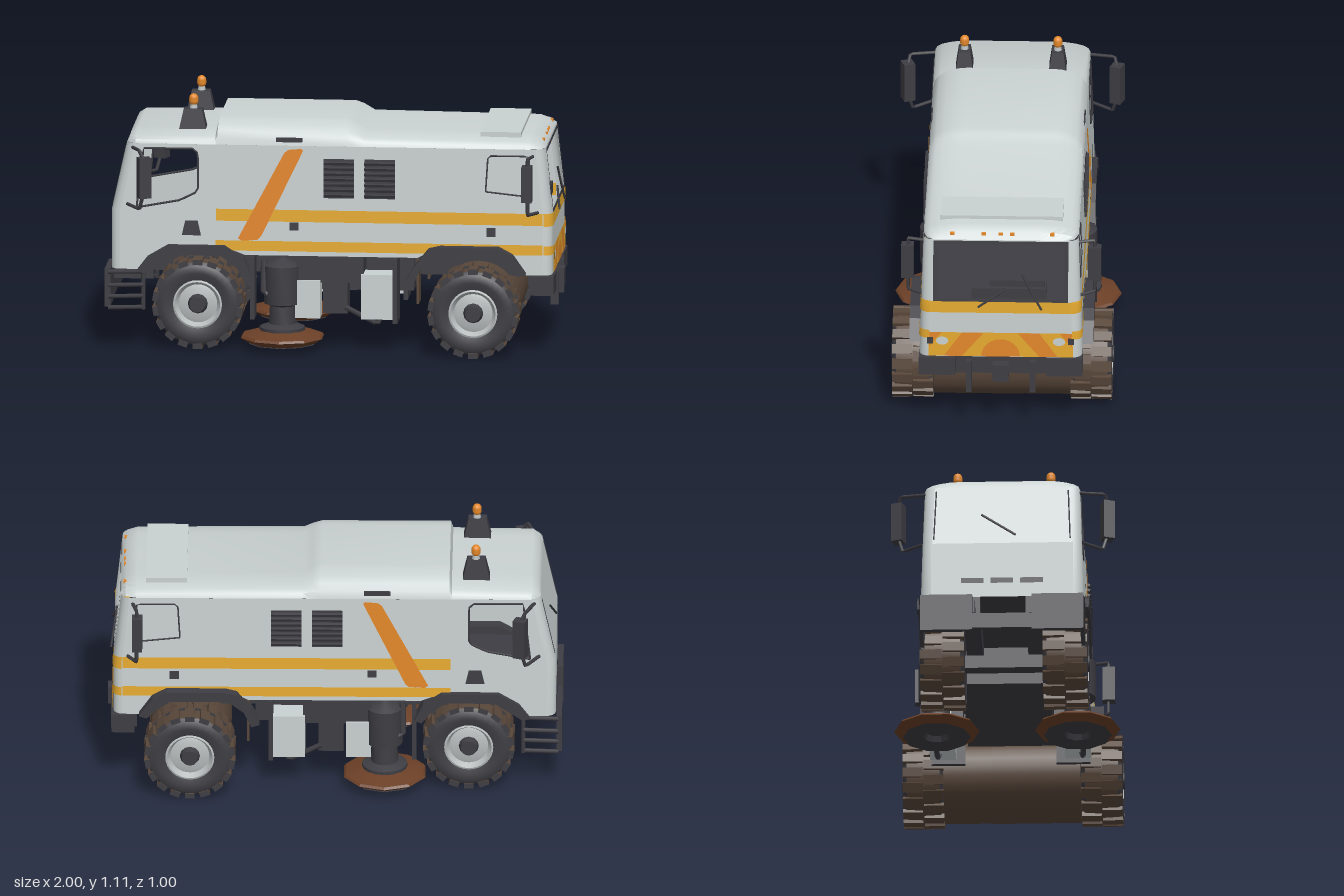
import * as THREE from 'three';
import { toCreasedNormals } from 'three/addons/utils/BufferGeometryUtils.js';

const mat = (name, color) => new THREE.MeshStandardMaterial({ name, color, side: THREE.DoubleSide });

export function createModel() {
  const root = new THREE.Group();
  root.name = 'streetSweeper';
  const paint = mat('greyPaint', 0xcad2d1), dark = mat('darkPlastic', 0x3d3d43), yellow = mat('yellowStripe', 0xe6aa30),
    orange = mat('orangeStripe', 0xe4882a), brown = mat('muddyBrown', 0x59473a), rust = mat('rustBristle', 0x6c4027),
    metal = mat('rimMetal', 0xb8bdbd);

  const add = (name, geo, m, x = 0, y = 0, z = 0, parent = root) => {
    const mesh = new THREE.Mesh(geo, m);
    mesh.name = name;
    mesh.position.set(x, y, z);
    parent.add(mesh);
    return mesh;
  };
  // box given by its limits
  const box = (name, m, x0, x1, y0, y1, z0, z1) => add(name, new THREE.BoxGeometry(x1 - x0, y1 - y0, Math.abs(z1 - z0)), m,
    (x0 + x1) / 2, (y0 + y1) / 2, (z0 + z1) / 2);
  const rod = (name, m, r, ...pts) => {
    const path = new THREE.CurvePath();
    const v = pts.map(p => new THREE.Vector3(...p));
    for (let i = 1; i < v.length; i++) path.add(new THREE.LineCurve3(v[i - 1], v[i]));
    return add(name, new THREE.TubeGeometry(path, 6 * (v.length - 1), r, 6), m);
  };
  const poly = pts => new THREE.Shape(pts.map(p => new THREE.Vector2(...p)));
  const rect = (a, b, c, d) => poly([[a, c], [b, c], [b, d], [a, d]]);

  // ---- body surface rules ----
  const W = y => 0.358 - (y - 0.36) * 0.03;
  const E = (s, y) => s * (0.972 - Math.max(0, y - 0.62) * (s > 0 ? 0.11 : 0.22));
  const mapped = (name, shape, m, flip, rule) => {
    const g = new THREE.ShapeGeometry(shape, 10), p = g.attributes.position;
    for (let i = 0; i < p.count; i++) p.setXYZ(i, ...rule(p.getX(i), p.getY(i)));
    if (flip) g.index.array.reverse();
    g.computeVertexNormals();
    return add(name, g, m);
  };
  const onSide = (name, shape, m, s, off = 0.004) => mapped(name, shape, m, s < 0, (x, y) => [x, y, s * (W(y) + off)]);
  const onEnd = (name, shape, m, s, off = 0.004) => mapped(name, shape, m, s > 0, (z, y) => [E(s, y) + s * off, y, z]);
  const grid = (rows, flip) => {
    const n = rows[0].length, idx = [];
    for (let i = 0; i < rows.length - 1; i++) for (let j = 0; j < n - 1; j++) {
      const a = i * n + j;
      idx.push(a, a + 1, a + n, a + 1, a + n + 1, a + n);
    }
    if (flip) idx.reverse();
    const g = new THREE.BufferGeometry();
    g.setAttribute('position', new THREE.Float32BufferAttribute(rows.flat(2), 3));
    g.setIndex(idx);
    g.computeVertexNormals();
    return g;
  };
  const corner = (name, m, sx, sz, ys, off = 0) => add(name, grid(ys.map(y => [0, 1, 2, 3, 4].map(i => {
    const a = i / 4 * Math.PI / 2;
    return [E(sx, y) + sx * (off - 0.04 * (1 - Math.sin(a))), y, sz * (W(y) - 0.045 * (1 - Math.cos(a)) + off)];
  })), sx * sz < 0), m);

  // ---- body shell ----
  for (const s of [1, -1]) {
    const wall = poly([[-0.932, 0.36], [-0.83, 0.36], [-0.8, 0.41], [-0.72, 0.46], [-0.46, 0.46], [-0.38, 0.43], [0.38, 0.43], [0.46, 0.47],
      [0.78, 0.47], [0.85, 0.38], [0.86, 0.36], [0.932, 0.36], [0.932, 0.62], [0.899, 0.92], [-0.866, 0.92], [-0.932, 0.62]]);
    const win = [[-0.86, 0.635], [-0.67, 0.67], [-0.59, 0.71], [-0.59, 0.88], [-0.61, 0.9], [-0.83, 0.9]];
    wall.holes.push(poly(win));
    onSide('sideWall', wall, paint, s, 0);
    rod('sideWindowTrim', dark, 0.005, ...[...win, win[0]].map(([x, y]) => [x, y, s * W(y)]));
    rod('rearSideWindowTrim', dark, 0.004, ...[[0.68, 0.73], [0.87, 0.71], [0.885, 0.7], [0.87, 0.89], [0.69, 0.89], [0.68, 0.73]]
      .map(([x, y]) => [x, y, s * W(y)]));
    for (const e of [1, -1]) corner('bodyCorner', paint, e, s, [0.36, 0.62, 0.92]);
  }
  for (const e of [1, -1]) {
    onEnd('lowerEndWall', rect(-0.312, 0.312, 0.36, 0.62), paint, e, 0);
    const upper = poly([[-0.306, 0.62], [0.306, 0.62], [0.297, 0.92], [-0.297, 0.92]]);
    if (e > 0) upper.holes.push(rect(-0.283, 0.283, 0.645, 0.905));
    onEnd('upperEndWall', upper, paint, e, 0);
  }
  const frame = rect(-0.297, 0.297, 0.632, 0.917);
  frame.holes.push(rect(-0.28, 0.28, 0.648, 0.902));
  onEnd('windscreenFrame', frame, dark, 1);

  // roof: end position, half width and crown height at each station
  const stations = [[-0.906, 0.297, 0.92], [-0.895, 0.315, 0.95], [-0.866, 0.341, 0.967], [-0.515, 0.341, 0.974], [-0.505, 0.341, 1.02],
    [0.06, 0.341, 1.02], [0.1, 0.341, 1.005], [0.14, 0.341, 0.976], [0.87, 0.341, 0.967], [0.92, 0.325, 0.95], [0.939, 0.297, 0.92]];
  const roof = grid(stations.map(([x, w, t]) => {
    const half = [[w, 0.92], [w - 0.008, 0.92 + (t - 0.92) * 0.35], [w - 0.03, 0.92 + (t - 0.92) * 0.62],
      [w - 0.065, 0.92 + (t - 0.92) * 0.82], [w - 0.11, t - (t - 0.92) * 0.04], [w - 0.15, t]];
    return [...half, ...half.slice().reverse().map(([z, y]) => [-z, y])].map(([z, y]) => [x, y, z]);
  }), true);
  add('roof', toCreasedNormals(roof, 0.7), paint);
  box('roofHatch', paint, 0.65, 0.83, 0.96, 0.983, -0.27, 0.27);
  box('floor', dark, -0.93, 0.93, 0.425, 0.435, -0.34, 0.34);
  box('headliner', dark, -0.87, 0.9, 0.912, 0.918, -0.335, 0.335);

  // ---- painted stripes, vents and small fittings on both sides ----
  for (const s of [1, -1]) {
    // the bands show on the outer and the inner skin
    for (const off of [0.004, -0.004]) {
      for (const [y0, y1] of [[0.582, 0.635], [0.45, 0.495]]) onSide('sideStripe', rect(-0.51, 0.932, y0, y1), yellow, s, off);
      onSide('diagonalStripe', poly([[-0.412, 0.505], [-0.395, 0.495], [-0.325, 0.5], [-0.31, 0.515], [-0.125, 0.9], [-0.135, 0.908], [-0.19, 0.903],
        [-0.208, 0.89]]), orange, s, off * 1.5);
    }
    corner('cornerStripe', yellow, 1, s, [0.578, 0.62, 0.635], 0.004);
    corner('cornerStripe', yellow, 1, s, [0.45, 0.49], 0.004);
    for (const x of [-0.035, 0.145]) {
      onSide('ventPanel', rect(x, x + 0.135, 0.69, 0.865), dark, s);
      for (let i = 0; i < 7; i++) {
        const slat = box('ventSlat', dark, x, x + 0.135, 0.697 + i * 0.024, 0.709 + i * 0.024, s * 0.345, s * 0.358);
        slat.rotation.x = s * 0.4;
      }
    }
    onSide('fuelFlap', poly([[-0.66, 0.515], [-0.575, 0.515], [-0.59, 0.58], [-0.645, 0.58]]), dark, s);
    onSide('doorHandle', rect(0.685, 0.725, 0.53, 0.57), dark, s);
    onSide('sideLatch', rect(-0.185, -0.145, 0.545, 0.58), dark, s, 0.008);
    box('roofVent', dark, -0.245, -0.13, 0.935, 0.955, s * 0.31, s * 0.339);
  }

  // ---- painted end with chevrons ----
  onEnd('endStripe', rect(-0.312, 0.312, 0.578, 0.632), yellow, 1);
  onEnd('chevronPanel', rect(-0.318, 0.318, 0.363, 0.48), yellow, 1);
  const arch = new THREE.Shape();
  arch.absarc(0, 0.364, 0.085, 0, Math.PI);
  onEnd('chevronCentre', arch, orange, 1, 0.006);
  for (const s of [1, -1]) {
    const band = pts => poly((s > 0 ? pts : pts.reverse()).map(([z, y]) => [s * z, y]));
    onEnd('chevronBand', band([[0.17, 0.364], [0.25, 0.364], [0.17, 0.48], [0.075, 0.48]]), orange, 1, 0.006);
    onEnd('chevronTip', band([[0.315, 0.41], [0.315, 0.48], [0.26, 0.48]]), orange, 1, 0.006);
    const lamp = new THREE.Shape();
    lamp.absellipse(s * 0.257, 0.44, 0.027, 0.02, 0, Math.PI * 2);
    onEnd('headlamp', lamp, paint, 1, 0.008);
    onEnd('lampRecess', rect(s * 0.31 - 0.013, s * 0.31 + 0.013, 0.425, 0.457), dark, 1, 0.007);
  }
  for (const z of [0.215, 0.075, 0, -0.05, -0.225]) box('markerLight', orange, 0.912, 0.93, 0.938, 0.949, z - 0.01, z + 0.01);

  // ---- cab details ----
  box('dashboard', dark, 0.82, 0.93, 0.625, 0.675, -0.2, 0.13);
  box('instrumentPod', dark, 0.84, 0.91, 0.67, 0.705, -0.19, 0.05);
  rod('wiper', dark, 0.005, [0.985, 0.6, -0.18], [0.97, 0.69, -0.13], [0.96, 0.76, -0.095]);
  rod('wiper', dark, 0.005, [0.985, 0.61, 0.1], [0.965, 0.69, -0.02]);
  rod('frontWiper', dark, 0.005, [-0.97, 0.66, 0.06], [-0.945, 0.77, -0.09]);
  for (let i = -1; i <= 1; i++) onEnd('grilleSlot', rect(i * 0.13 - 0.05, i * 0.13 + 0.05, 0.425, 0.45), dark, -1);
  for (const s of [1, -1]) {
    rod('frontScreenSeal', dark, 0.003, [E(-1, 0.64), 0.64, s * 0.3], [E(-1, 0.9), 0.9, s * 0.29]);
    box('frontMirror', dark, -0.845, -0.79, 0.7, 0.88, s * 0.435, s * 0.485).rotation.y = s * 0.35;
    rod('frontMirrorArm', dark, 0.008, [-0.88, 0.9, s * 0.33], [-0.84, 0.91, s * 0.45], [-0.82, 0.87, s * 0.46]);
    rod('frontMirrorArm', dark, 0.008, [-0.9, 0.65, s * 0.35], [-0.84, 0.645, s * 0.44], [-0.82, 0.72, s * 0.46]);
    box('rearMirror', dark, 0.845, 0.89, 0.7, 0.86, s * 0.385, s * 0.44);
    rod('rearMirrorArm', dark, 0.008, [0.89, 0.89, s * 0.33], [0.87, 0.89, s * 0.41], [0.87, 0.85, s * 0.41]);
    rod('rearMirrorArm', dark, 0.008, [0.91, 0.64, s * 0.35], [0.87, 0.64, s * 0.41], [0.87, 0.71, s * 0.41]);
    // warning beacons
    const base = new THREE.CylinderGeometry(0.057, 0.085, 0.09, 4).rotateY(Math.PI / 4).scale(1, 1, 0.64);
    add('beaconBase', toCreasedNormals(base, 0.5), dark, -0.622, 1.011, s * 0.205);
    add('beaconStem', new THREE.CylinderGeometry(0.014, 0.02, 0.03, 10), metal, -0.62, 1.06, s * 0.205);
    add('beaconLens', new THREE.CapsuleGeometry(0.02, 0.014, 5, 12), orange, -0.62, 1.094, s * 0.205);
  }

  // ---- wheels ----
  const turned = (pts, n = 32) => new THREE.LatheGeometry(pts.map(p => new THREE.Vector2(...p)), n).rotateX(Math.PI / 2);
  const wheel = (name, x, s, zIn, zOut) => {
    const g = new THREE.Group(), h = (zOut - zIn) / 2;
    g.name = name;
    g.position.set(x, 0.207, s * (zIn + zOut) / 2);
    if (s < 0) g.rotation.y = Math.PI;
    root.add(g);
    add('tyreTread', turned([[0.186, -h + 0.02], [0.19, 0], [0.186, h - 0.02]]), brown, 0, 0, 0, g);
    add('outerSidewall', turned([[0.187, h - 0.02], [0.172, h - 0.004], [0.14, h], [0.105, h - 0.01]]), dark, 0, 0, 0, g);
    add('innerSidewall', turned([[0, -h + 0.03], [0.1, -h + 0.02], [0.14, -h], [0.172, -h + 0.004], [0.187, -h + 0.02]]), dark, 0, 0, 0, g);
    add('rim', toCreasedNormals(turned([[0, h - 0.02], [0.07, h - 0.025], [0.085, h - 0.03], [0.1, h - 0.003], [0.108, h - 0.006]]), 0.6), metal, 0, 0, 0, g);
    add('hub', new THREE.CylinderGeometry(0.035, 0.045, 0.03, 12).rotateX(Math.PI / 2), dark, 0, 0, h - 0.01, g);
    // staggered lugs, brown on the tread and dark on the outer face
    for (let i = 0; i < 36; i++) {
      const a = i / 36 * Math.PI * 2, side = i % 2 ? 1 : -1;
      const lug = add('treadLug', new THREE.BoxGeometry(0.024, 0.042, h * 0.95), [brown, brown, brown, brown, dark, dark],
        Math.cos(a) * 0.188, Math.sin(a) * 0.188, side * h * 0.5, g);
      lug.rotation.z = a;
    }
  };
  const fender = (outer, s, z0, z1) => {
    const cx = (outer[0][0] + outer[outer.length - 1][0]) / 2;
    const inner = outer.map(([x, y]) => [cx + (x - cx) * 0.87, y - (y > 0.4 ? 0.045 : 0.01)]).reverse();
    add('fender', new THREE.ExtrudeGeometry(poly([...outer, ...inner]), { depth: z1 - z0, bevelEnabled: false }), dark, 0, 0, s > 0 ? z0 : -z1);
  };
  for (const s of [1, -1]) {
    wheel('frontWheel', -0.59, s, 0.17, 0.37);
    wheel('rearWheel', 0.635, s, 0.3, 0.485);
    fender([[-0.86, 0.355], [-0.81, 0.42], [-0.72, 0.473], [-0.47, 0.473], [-0.39, 0.42], [-0.35, 0.34]], s, 0.3, 0.378);
    fender([[0.33, 0.33], [0.37, 0.4], [0.43, 0.475], [0.48, 0.487], [0.74, 0.487], [0.8, 0.455], [0.86, 0.37]], s, 0.32, 0.405);
    box('mudFlap', brown, 0.375, 0.385, 0.22, 0.42, s * 0.22, s * 0.34);
  }

  // ---- sweeping gear ----
  add('rollerBrush', new THREE.CylinderGeometry(0.18, 0.18, 0.39, 28).rotateX(Math.PI / 2), brown, 0.635, 0.205, 0.105);
  add('rollerBrush', new THREE.CylinderGeometry(0.178, 0.178, 0.22, 28).rotateX(Math.PI / 2), brown, 0.635, 0.205, -0.195);
  for (const s of [1, -1]) {
    const disc = (name, pts, m, n) => add(name, toCreasedNormals(new THREE.LatheGeometry(pts.map(p => new THREE.Vector2(...p)), n), 0.4), m, -0.22, 0, s * 0.31);
    disc('brushBristles', [[0.145, 0.034], [0.155, 0.039], [0.188, 0.06], [0.18, 0.07], [0.07, 0.1]], rust, 10);
    disc('brushPlate', [[0, 0.06], [0.05, 0.06], [0.06, 0.035], [0.15, 0.032]], dark, 10);
    disc('brushHub', [[0.1, 0.085], [0.1, 0.105], [0.06, 0.12], [0.055, 0.2], [0.08, 0.21], [0.08, 0.38], [0, 0.42]], dark, 16);

    // tanks and boxes between the axles
    box('hydraulicBox', paint, -0.16, -0.05, 0.15, 0.32, s * 0.25, s * 0.35);
    box('toolBox', paint, 0.13, 0.27, 0.15, 0.35, s * 0.24, s * 0.355);
    box('pumpBox', dark, -0.04, 0.07, 0.17, 0.42, s * 0.2, s * 0.33);
    box('fuelTank', dark, -0.16, 0.14, 0.31, 0.43, s * 0.18, s * 0.34);
    box('bracketPlate', dark, 0.27, 0.29, 0.13, 0.42, s * 0.2, s * 0.35);
    box('hangerPlate', dark, -0.36, -0.34, 0.14, 0.42, s * 0.25, s * 0.35);
    rod('hose', dark, 0.014, [-0.3, 0.4, s * 0.32], [-0.3, 0.26, s * 0.35], [-0.18, 0.23, s * 0.34]);
    rod('pipe', dark, 0.012, [0.06, 0.2, s * 0.33], [0.2, 0.125, s * 0.32], [0.24, 0.2, s * 0.3]);
    box('chassisRail', dark, -0.86, 0.93, 0.32, 0.43, s * 0.1, s * 0.17);
  }
  box('hopperBelly', dark, -0.3, 0.35, 0.25, 0.43, -0.19, 0.19);
  box('frontAxle', dark, -0.62, -0.56, 0.18, 0.24, -0.2, 0.2);

  // ---- bumpers ----
  for (const s of [1, -1]) {
    box('guardPlate', dark, -1, -0.975, 0.19, 0.36, s * 0.13, s * 0.36);
    for (const y of [0.185, 0.235, 0.285, 0.345])
      rod('stepRail', dark, 0.01, [-0.985, y, s * 0.355], [-0.83, y + 0.005, s * 0.355]);
    rod('stepPost', dark, 0.01, [-0.83, 0.18, s * 0.355], [-0.83, 0.37, s * 0.345]);
    box('guardArm', dark, -0.98, -0.8, 0.28, 0.35, s * 0.12, s * 0.17);
    box('rearBumperEnd', dark, 0.88, 0.98, 0.27, 0.355, s * 0.2, s * 0.36);
    box('towProng', dark, 0.95, 0.985, 0.19, 0.34, s * 0.14 - 0.013, s * 0.14 + 0.013);
  }
  box('guardCentre', dark, -0.995, -0.975, 0.2, 0.27, -0.14, 0.14);
  box('rearCrossbeam', dark, 0.87, 0.955, 0.27, 0.37, -0.3, 0.3);
  box('towCoupling', dark, 0.94, 1, 0.25, 0.33, -0.035, 0.035);
  return root;
}
